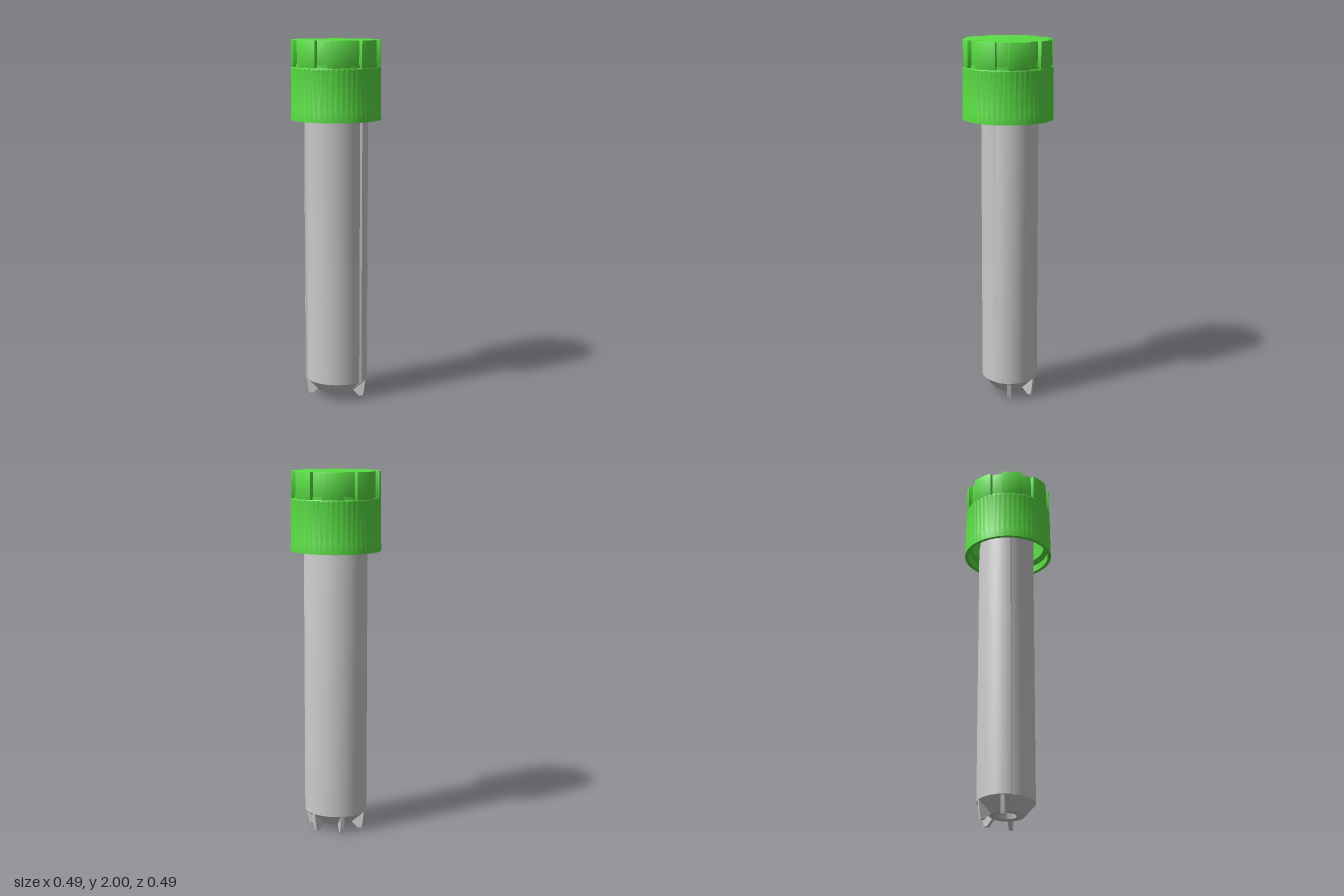
import * as THREE from 'three';
import { toCreasedNormals } from 'three/addons/utils/BufferGeometryUtils.js';

const grey = new THREE.MeshStandardMaterial({ color: 0xcccccc });
const green = new THREE.MeshStandardMaterial({ color: 0x5ade44 });
const deg = Math.PI / 180;

function mesh(name, geometry, material) {
  const m = new THREE.Mesh(toCreasedNormals(geometry, 0.6), material);
  m.name = name;
  return m;
}

// Lathe whose points may be moved by rule(vector, angleFromX)
function turned(profile, segments, rule) {
  const g = new THREE.LatheGeometry(profile.map(([r, y]) => new THREE.Vector2(r, y)), segments);
  const p = g.attributes.position, v = new THREE.Vector3();
  for (let i = 0; i < p.count; i++) {
    v.fromBufferAttribute(p, i);
    rule(v, Math.atan2(v.z, v.x));
    p.setXYZ(i, v.x, v.y, v.z);
  }
  return g;
}

// Slightly oval tube with a shallow recessed front panel
function tubeBody() {
  const profile = [
    [0, 0.08], [0.045, 0.075], [0.055, 0.032], [0.1, 0.032], [0.175, 0.1],
    [0.175, 1.6], [0.168, 1.64], [0.168, 1.885], [0.157, 1.885], [0.15, 0.15], [0, 0.12],
  ];
  return turned(profile, 180, (v, a) => {
    const r = Math.hypot(v.x, v.z);
    const inPanel = a > 27 * deg && a < 163 * deg && r > 0.17;
    const s = inPanel ? 0.94 : 1;
    v.x *= s;
    v.z = v.z * s * 0.915 - 0.005;
  });
}

// Locking fin under the chamfer, pointing outward along +x
function finGeometry() {
  const s = new THREE.Shape();
  [[0.09, 0.04], [0.125, 0.008], [0.13, 0], [0.155, 0], [0.162, 0.03], [0.17, 0.1], [0.12, 0.1]]
    .forEach(([x, y], i) => (i ? s.lineTo(x, y) : s.moveTo(x, y)));
  const g = new THREE.ExtrudeGeometry(s, { depth: 0.022, bevelEnabled: false });
  return g.translate(0, 0, -0.011);
}

// Cap skirt, floor and central socket, with fine grip grooves
function capBody() {
  const profile = [
    [0, 1.74], [0.1, 1.74], [0.1, 1.82], [0.205, 1.82], [0.205, 1.63], [0.228, 1.61], [0.228, 1.57],
    [0.247, 1.57], [0.246, 1.62], [0.2458, 1.628], [0.2435, 1.842], [0.2433, 1.85], [0.241, 1.855],
    [0.225, 1.855], [0.225, 1.87], [0.098, 1.87], [0.088, 1.8], [0.08, 1.785], [0, 1.785],
  ];
  return turned(profile, 216, (v, a) => {
    const grooved = v.y > 1.625 && v.y < 1.845 && Math.hypot(v.x, v.z) > 0.24;
    if (grooved && Math.sin(a * 54 + 0.3) > 0) {
      v.x *= 0.988;
      v.z *= 0.988;
    }
  });
}

// Crown wall: eight outer notches, each backed by a round inner lobe
function crown() {
  const N = 720, outer = [], inner = [];
  for (let i = 0; i < N; i++) {
    const a = (i / N) * Math.PI * 2;
    const step = 45 * deg;
    let d = (a + 8 * deg) % step;
    if (d > step / 2) d -= step;
    // notched outside
    const edge = THREE.MathUtils.smoothstep(Math.abs(d), 7.5 * deg, 8.5 * deg);
    const ro = 0.221 + 0.021 * edge;
    outer.push(new THREE.Vector2(ro * Math.cos(a), ro * Math.sin(a)));
    // nearer side of the lobe circle
    const c = 0.211, lobe = 0.044, h = lobe * lobe - (c * Math.sin(d)) ** 2;
    const ri = h > 0 ? Math.min(0.215, c * Math.cos(d) - Math.sqrt(h)) : 0.215;
    inner.push(new THREE.Vector2(ri * Math.cos(a), ri * Math.sin(a)));
  }
  const shape = new THREE.Shape(outer);
  shape.holes.push(new THREE.Path(inner.reverse()));
  const g = new THREE.ExtrudeGeometry(shape, {
    depth: 0.138, bevelThickness: 0.005, bevelSize: 0.004, bevelOffset: -0.004, bevelSegments: 2,
  });
  return g.rotateX(-Math.PI / 2).translate(0, 1.857, 0);
}

export function createModel() {
  const model = new THREE.Group();
  model.name = 'cappedSampleTube';

  const tube = new THREE.Group();
  tube.name = 'tube';
  tube.add(mesh('tubeBody', tubeBody(), grey));
  // Fins on the sides and back only
  for (let i = 0; i < 4; i++) {
    const holder = new THREE.Group();
    holder.name = 'finHolder';
    const fin = mesh('lockingFin', finGeometry(), grey);
    fin.rotation.y = i * 60 * deg;
    holder.add(fin);
    holder.scale.z = 0.95;
    holder.position.z = -0.005;
    tube.add(holder);
  }

  const cap = new THREE.Group();
  cap.name = 'screwCap';
  cap.add(mesh('capBody', capBody(), green), mesh('capCrown', crown(), green));

  model.add(tube, cap);
  return model;
}
